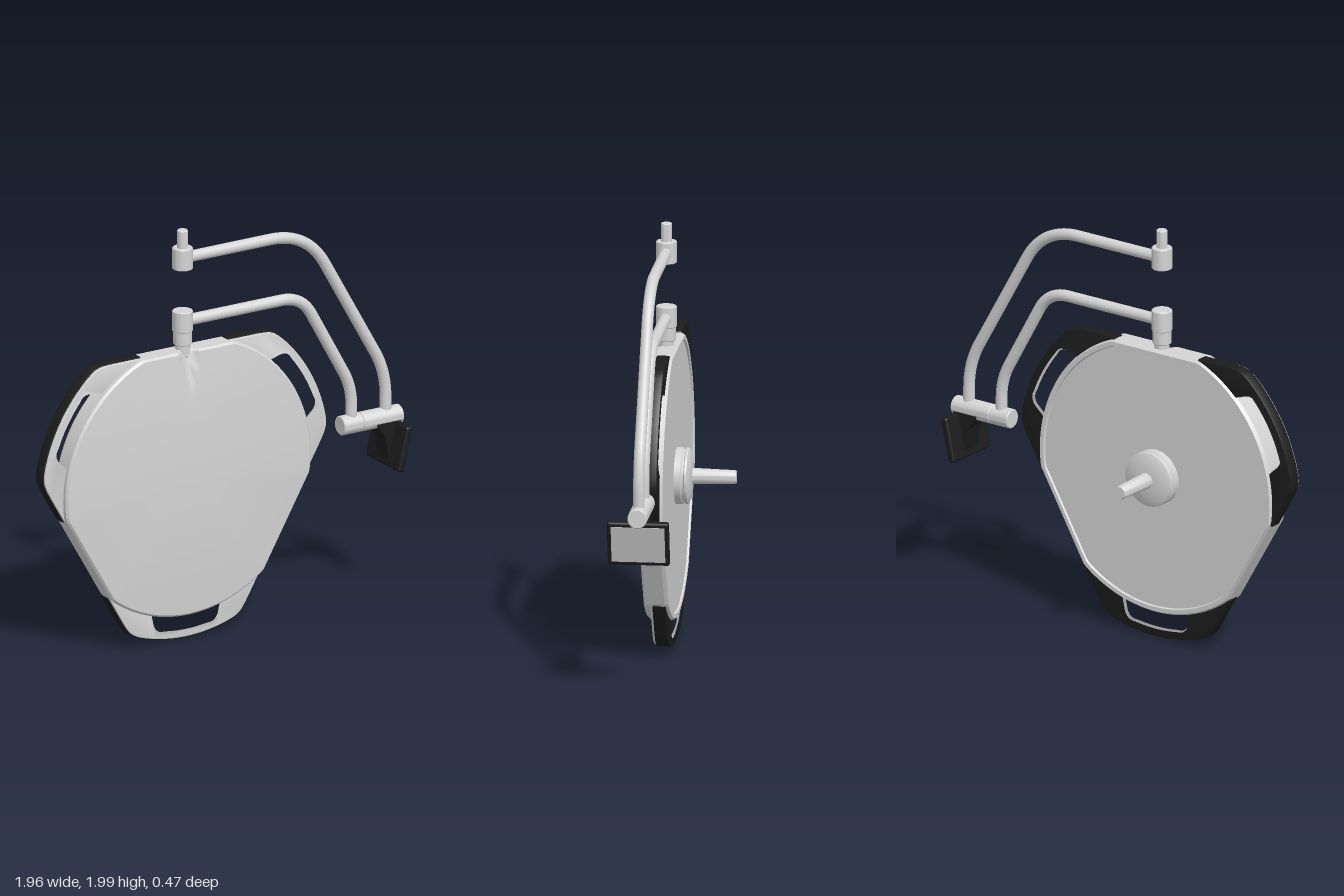
import * as THREE from 'three';
import { toCreasedNormals } from 'three/addons/utils/BufferGeometryUtils.js';
import { RoundedBoxGeometry } from 'three/addons/geometries/RoundedBoxGeometry.js';

const flat = (name, color) => Object.assign(new THREE.MeshStandardMaterial({ color }), { name });
const DEG = Math.PI / 180;
const CX = -0.21, CY = 0.8, CZ = 0.09; // lamp head centre and arm plane

export function createModel() {
  const light = flat('light grey', 0xd4d4d4);
  const black = flat('black', 0x1c1c1c);
  const display = flat('display grey', 0xc2c2c2);
  const model = new THREE.Group();

  const add = (name, geo, mat, parent = model) => {
    const mesh = new THREE.Mesh(geo, mat);
    mesh.name = name;
    parent.add(mesh);
    return mesh;
  };

  // Lathe from [radius, height] pairs, standing on the y axis
  const lathe = (pairs, seg = 40) => toCreasedNormals(
    new THREE.LatheGeometry(pairs.map(([r, y]) => new THREE.Vector2(r, y)), seg), 35 * DEG);

  // Plain rod with slightly bevelled ends
  const rod = (r, y0, y1, b = 0.004) =>
    lathe([[0, y0], [r - b, y0], [r, y0 + b], [r, y1 - b], [r - b, y1], [0, y1]]);

  // ---- Lamp head: a circle cut by three flats, lofted front to back
  const headRadius = (a) => {
    let r = 0.67;
    for (const n of [90, 210, 330]) {
      const c = Math.cos(a - n * DEG);
      if (c > 0.5) r = Math.min(r, 0.621 / c);
    }
    return r;
  };
  const rings = [];
  for (let i = 0; i <= 24; i++) {
    const t = 0.985 * i / 24;
    rings.push([t, 0.147 + 0.03 * (1 - t * t)]);
  }
  const lastFront = rings.length;
  rings.push([1, 0.137], [1, 0.05], [0.985, 0.033], [0.955, 0.033], [0.948, 0.042], [0, 0.042]);

  const SEG = 216, pos = [], idx = [];
  rings.forEach(([s, z], i) => {
    for (let j = 0; j < SEG; j++) {
      const a = j / SEG * Math.PI * 2, r = headRadius(a) * s;
      const x = r * Math.cos(a), y = r * Math.sin(a);
      // tapering groove below the neck
      const k = (y - 0.4) / 0.22, w = 0.052 * k;
      const dip = i <= lastFront && k > 0 && Math.abs(x) < w
        ? 0.035 * k * Math.sqrt(1 - (x / w) ** 2) : 0;
      pos.push(x, y, z - dip);
      if (i < rings.length - 1) {
        const p = i * SEG + j, q = i * SEG + (j + 1) % SEG;
        idx.push(p, p + SEG, q + SEG, p, q + SEG, q);
      }
    }
  });
  const headGeo = new THREE.BufferGeometry();
  headGeo.setAttribute('position', new THREE.Float32BufferAttribute(pos, 3));
  headGeo.setIndex(idx);
  const head = new THREE.Group();
  head.name = 'lampHead';
  head.position.set(CX, CY, 0);
  model.add(head);
  add('lampHousing', toCreasedNormals(headGeo, 28 * DEG), light, head);

  // ---- Three grab handles: black shell behind, light cover in front
  const polar = (r, a) => new THREE.Vector2(r * Math.sin(a * DEG), r * Math.cos(a * DEG));
  const handleGeo = (rOut, flatDist, grow, z0, z1, bevel) => {
    const pts = [], N = 48;
    for (let i = 0; i <= N; i++) {
      const a = -39 + 78 * i / N;
      const side = flatDist / Math.cos((60 - Math.abs(a)) * DEG);
      pts.push(polar((rOut ** -60 + side ** -60) ** (-1 / 60), a)); // softened corner
    }
    for (let i = 0; i <= 16; i++) pts.push(polar(0.63, 39 - 78 * i / 16));
    const shape = new THREE.Shape(pts);
    const hole = new THREE.Path();
    const o = 0.75 + grow, g = grow / 0.0125;
    const at = (r, a) => polar(r, a).toArray();
    hole.moveTo(...at(0.65, -17.5 - g));
    hole.lineTo(...at(0.72, -14.5 - g));
    hole.quadraticCurveTo(...at(o + 0.012, -12.5 - g), ...at(o, -9));
    for (let a = -6; a <= 9; a += 3) hole.lineTo(...at(o, a));
    hole.quadraticCurveTo(...at(o + 0.012, 12.5 + g), ...at(0.72, 14.5 + g));
    hole.lineTo(...at(0.65, 17.5 + g));
    for (let a = 12; a >= -12; a -= 6) hole.lineTo(...at(0.65, a));
    shape.holes.push(hole);
    const geo = new THREE.ExtrudeGeometry(shape, {
      depth: z1 - z0 - 2 * bevel, bevelThickness: bevel, bevelSize: bevel,
      bevelOffset: -bevel, bevelSegments: 2, curveSegments: 8,
    });
    return toCreasedNormals(geo.translate(0, 0, z0 + bevel), 35 * DEG);
  };
  const shell = handleGeo(0.79, 0.627, 0.008, 0.046, 0.108, 0.006);
  const cover = handleGeo(0.783, 0.622, 0, 0.06, 0.118, 0.005);
  for (const turn of [60, 180, 300]) {
    const handle = new THREE.Group();
    handle.name = 'grabHandle';
    handle.rotation.z = turn * DEG;
    add('handleShell', shell, black, handle);
    add('handleCover', cover, light, handle);
    head.add(handle);
  }

  // ---- Rear hub and steering grip, pointing back
  const hub = add('rearHub', lathe([[0.132, -0.045], [0.132, -0.012], [0.124, -0.006],
    [0.124, 0.002], [0.132, 0.006], [0.13, 0.016], [0.11, 0.026], [0.045, 0.034], [0, 0.034]], 56), light, head);
  hub.rotation.x = -Math.PI / 2;
  const grip = add('rearGrip', lathe([[0.038, 0.025], [0.037, 0.05], [0.032, 0.23],
    [0.028, 0.236], [0, 0.236]]), light, head);
  grip.rotation.x = -Math.PI / 2;

  // ---- Neck and ceiling joints
  const joint = (name, r, y0, y1) => add(name, rod(r, y0, y1), light).position.set(CX, 0, CZ);
  joint('neckBase', 0.035, 1.38, 1.46);
  joint('neckCollar', 0.044, 1.442, 1.508);
  joint('neckJoint', 0.048, 1.505, 1.607);
  joint('ceilingJoint', 0.048, 1.81, 1.915);
  joint('ceilingStem', 0.026, 1.9, 2.0);

  // ---- Bent arms: straight runs joined by rounded corners
  const arm = (name, points, cuts) => {
    const p = points.map(([x, y]) => new THREE.Vector3(x, y, CZ));
    const path = new THREE.CurvePath();
    let from = p[0];
    for (let i = 1; i < p.length - 1; i++) {
      const toward = (q) => p[i].clone().add(q.clone().sub(p[i]).setLength(cuts[i - 1]));
      const a = toward(p[i - 1]), b = toward(p[i + 1]);
      path.add(new THREE.LineCurve3(from, a));
      path.add(new THREE.QuadraticBezierCurve3(a, p[i], b));
      from = b;
    }
    path.add(new THREE.LineCurve3(from, p[p.length - 1]));
    add(name, new THREE.TubeGeometry(path, 120, 0.027, 20), light);
  };
  arm('upperArm', [[CX, 1.862], [0.47, 1.862], [0.9, 1.1], [0.9, 0.88]], [0.2, 0.12]);
  arm('lowerArm', [[CX, 1.553], [0.44, 1.553], [0.713, 1.06], [0.713, 0.88]], [0.11, 0.09]);

  // ---- Horizontal elbow joining both arms
  for (const [name, x0, x1] of [['elbowEnd', 0.65, 0.757], ['elbowBody', 0.757, 0.975]]) {
    const part = add(name, rod(0.046, -x1, -x0), light);
    part.rotation.z = Math.PI / 2;
    part.position.set(0, 0.878, CZ);
  }

  // ---- Control screen on a wedge bracket
  const wedge = new THREE.Shape([[0.825, 0.862], [0.87, 0.79], [0.888, 0.66], [0.91, 0.66], [0.955, 0.862]]
    .map(([x, y]) => new THREE.Vector2(x, y)));
  add('screenBracket', new THREE.ExtrudeGeometry(wedge, { depth: 0.1, bevelEnabled: false })
    .translate(0, 0, CZ - 0.05), black);
  const screen = new THREE.Group();
  screen.name = 'controlScreen';
  screen.position.set(0.92, 0.752, CZ);
  screen.rotation.z = -13 * DEG;
  add('screenCase', new RoundedBoxGeometry(0.036, 0.218, 0.288, 3, 0.012), black, screen);
  add('screenFace', new THREE.BoxGeometry(0.004, 0.178, 0.25), display, screen).position.x = 0.018;
  model.add(screen);

  return model;
}
